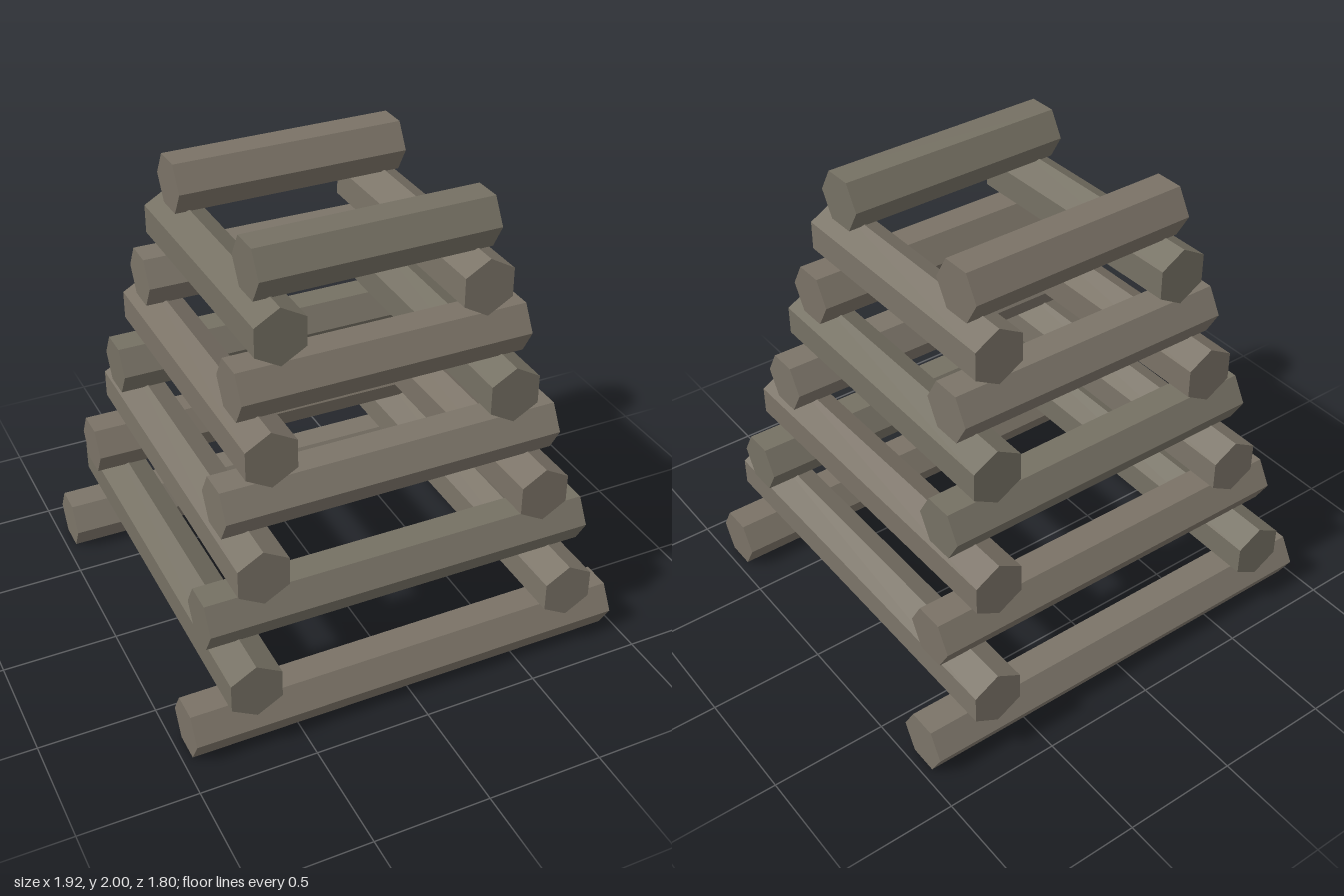
import * as THREE from 'three';

const RADIUS = 0.124;
const COLORS = [0x7a7266, 0x7b7468, 0x757063];

// Each layer: sideways offset of the two logs, [at the + end, at the - end]
const LAYERS = [
  { left: [0.75, 0.75], right: [-0.745, -0.757] },
  { left: [0.703, 0.699], right: [-0.71, -0.7] },
  { left: [0.667, 0.657], right: [-0.652, -0.664] },
  { left: [0.622, 0.608], right: [-0.622, -0.612] },
  { left: [0.575, 0.575], right: [-0.57, -0.57] },
  { left: [0.518, 0.531], right: [-0.532, -0.532] },
  { left: [0.487, 0.487], right: [-0.477, -0.489] },
  { left: [0.438, 0.438], right: [-0.438, -0.447] },
  { left: [0.395, 0.405], right: [-0.395, -0.388] },
];

// Hexagonal log, lying along x or z with a slight yaw
function makeLog(alongX, length, y, [a, b], color) {
  const log = new THREE.Mesh(
    new THREE.CylinderGeometry(RADIUS, RADIUS, length, 6),
    new THREE.MeshStandardMaterial({ color, flatShading: true })
  );
  const yaw = (a - b) / length;
  const offset = (a + b) / 2;
  log.rotation.order = 'YXZ';
  if (alongX) {
    log.rotation.set(0, -yaw, Math.PI / 2);
    log.position.set(0, y, offset);
  } else {
    log.rotation.set(Math.PI / 2, yaw, 0);
    log.position.set(offset, y, 0);
  }
  return log;
}

export function createModel() {
  const stack = new THREE.Group();
  stack.name = 'logStack';

  // Crossed pairs of logs, shorter towards the top
  LAYERS.forEach((layer, i) => {
    const alongX = i % 2 === 0;
    const y = 0.108 + i * 0.2232;
    const length = 1.915 - i * 0.1128;
    const names = alongX ? ['frontLog', 'backLog'] : ['leftLog', 'rightLog'];
    [layer.left, layer.right].forEach((ends, k) => {
      const log = makeLog(alongX, length, y, ends, COLORS[(i + k) % 3]);
      log.name = names[k] + (i + 1);
      stack.add(log);
    });
  });
  return stack;
}
